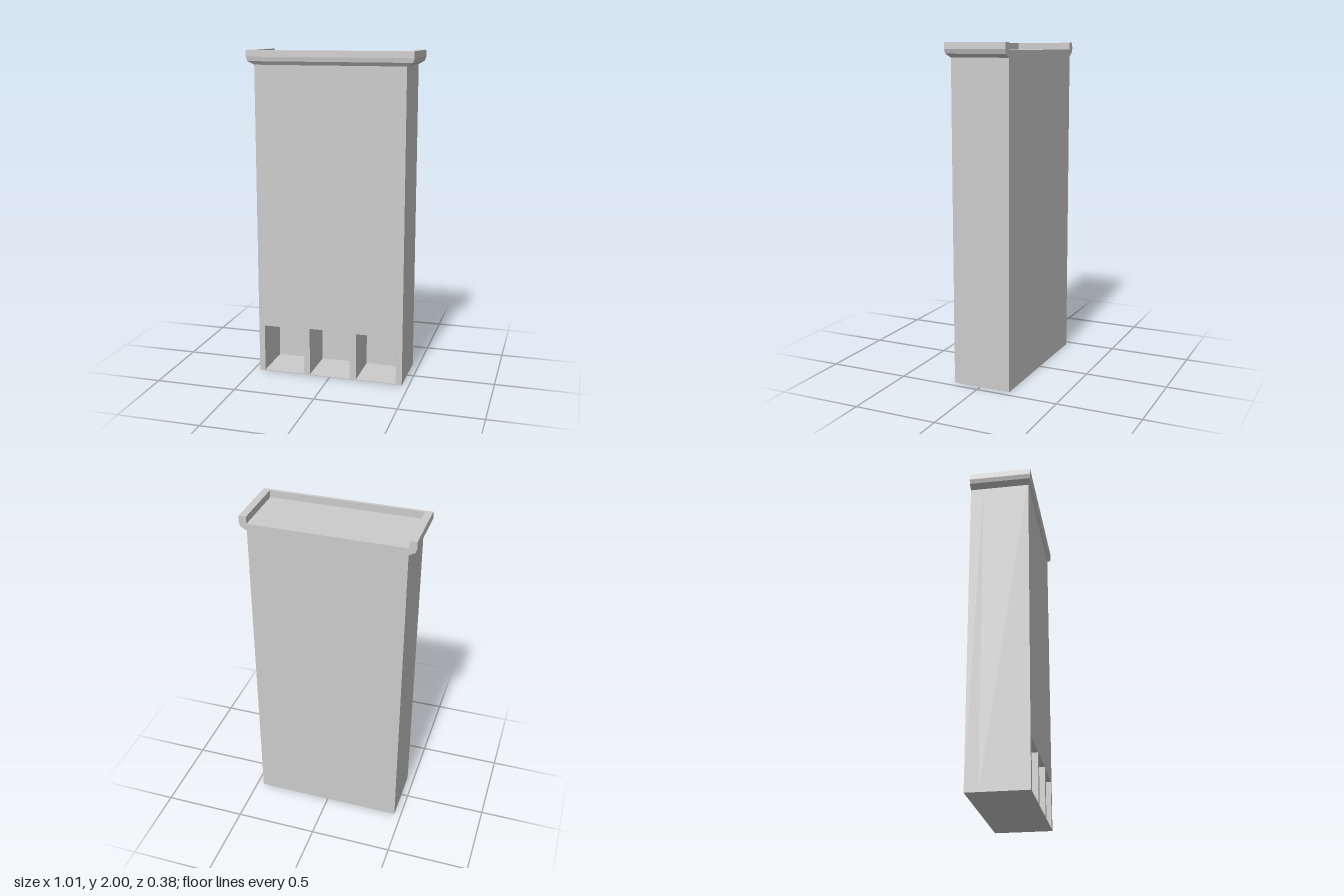
import * as THREE from 'three';

const HALF_W = 0.458, FRONT = 0.168, BACK = -0.189, ROOF = 1.957, NICHE_BACK = -0.11;
const grey = new THREE.MeshStandardMaterial({ color: 0xcccccc, flatShading: true });

function addMesh(group, name, geometry) {
  const mesh = new THREE.Mesh(geometry, grey);
  mesh.name = name;
  group.add(mesh);
  return mesh;
}

function rectangle(PathType, x0, y0, x1, y1) {
  const path = new PathType();
  path.moveTo(x0, y0).lineTo(x1, y0).lineTo(x1, y1).lineTo(x0, y1).closePath();
  return path;
}

// Moulding swept with mitred corners around the two sides and the front, open at the back
function corniceGeometry() {
  // [share of overhang, height], from inner bottom outwards and up to inner top
  const profile = [[0, 1.915], [0.8, 1.936], [1, 1.962], [0.95, 2], [0, 2]];
  // [x, z, overhang in x, overhang in z]
  const stations = [
    [-HALF_W, BACK, -0.046, 0], [-HALF_W, FRONT, -0.046, 0.019],
    [HALF_W, FRONT, 0.046, 0.019], [HALF_W, BACK, 0.046, 0],
  ];
  const positions = [];
  const point = (s, p) => {
    const [x, z, ox, oz] = stations[s];
    const [out, y] = profile[p % profile.length];
    return [x + ox * out, y, z + oz * out];
  };
  const triangle = (a, b, c) => positions.push(...a, ...b, ...c);
  for (let s = 0; s < 3; s++) {
    for (let p = 0; p < profile.length; p++) {
      const a = point(s, p), b = point(s + 1, p), c = point(s + 1, p + 1), d = point(s, p + 1);
      triangle(a, b, c);
      triangle(a, c, d);
    }
  }
  // end caps at the back
  for (let p = 1; p < profile.length - 1; p++) {
    triangle(point(0, 0), point(0, p), point(0, p + 1));
    triangle(point(3, 0), point(3, p + 1), point(3, p));
  }
  const geometry = new THREE.BufferGeometry();
  geometry.setAttribute('position', new THREE.Float32BufferAttribute(positions, 3));
  geometry.computeVertexNormals();
  return geometry;
}

export function createModel() {
  const model = new THREE.Group();
  model.name = 'facadeBlock';

  // Front part of the block with three openings at its foot
  const wall = rectangle(THREE.Shape, -HALF_W, 0, HALF_W, ROOF);
  for (const [x0, x1, top] of [[-0.422, -0.165, 0.3], [-0.127, 0.129, 0.306], [0.17, 0.42, 0.3]]) {
    wall.holes.push(rectangle(THREE.Path, x0, 0.006, x1, top));
  }
  const front = new THREE.ExtrudeGeometry(wall, { depth: FRONT - NICHE_BACK, bevelEnabled: false });
  front.translate(0, 0, NICHE_BACK);
  addMesh(model, 'frontWallWithOpenings', front);

  // Solid rear part, which closes the openings
  const rear = new THREE.BoxGeometry(2 * HALF_W, ROOF, NICHE_BACK - BACK);
  rear.translate(0, ROOF / 2, (NICHE_BACK + BACK) / 2);
  addMesh(model, 'rearWall', rear);

  // Raised rim around the flat roof
  addMesh(model, 'cornice', corniceGeometry());
  return model;
}
